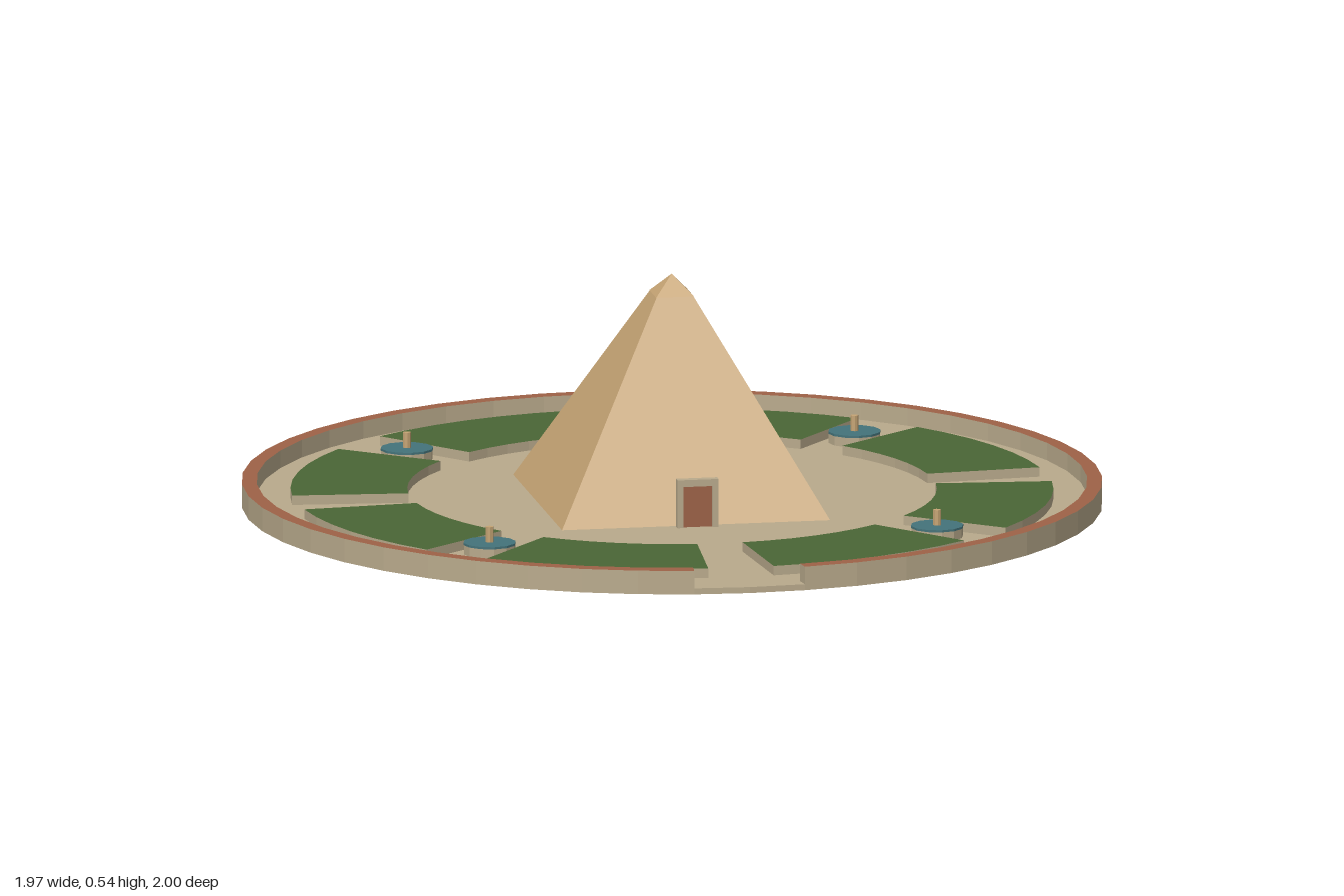
import * as THREE from 'three';

export function createModel() {
  const model = new THREE.Group();
  model.name = 'pyramidGarden';
  const mat = (name, color) => {
    const m = new THREE.MeshStandardMaterial({ color, flatShading: true });
    m.name = name;
    return m;
  };
  const stone = mat('paleStone', 0xb9aa8c);
  const sand = mat('sandstone', 0xc6a474);
  const grass = mat('grass', 0x4a6636);
  const brick = mat('brick', 0x9e6247);
  const water = mat('water', 0x44737a);

  const add = (name, geometry, material, x = 0, y = 0, z = 0, parent = model) => {
    const mesh = new THREE.Mesh(geometry, material);
    mesh.name = name;
    mesh.position.set(x, y, z);
    parent.add(mesh);
    return mesh;
  };

  // Curved slab between two radii; angles in degrees, measured from the front (+z)
  const ringSlab = (r0, r1, from, to, steps, height) => {
    const points = [];
    const arc = (r, a, b) => {
      for (let i = 0; i <= steps; i++) {
        const t = THREE.MathUtils.degToRad(a + ((b - a) * i) / steps);
        points.push(new THREE.Vector2(r * Math.sin(t), -r * Math.cos(t)));
      }
    };
    arc(r1, from, to);
    arc(r0, to, from);
    return new THREE.ExtrudeGeometry(new THREE.Shape(points), { depth: height, bevelEnabled: false })
      .rotateX(-Math.PI / 2);
  };

  // Square frustum given half widths
  const frustum = (top, bottom, height) =>
    new THREE.CylinderGeometry(top * Math.SQRT2, bottom * Math.SQRT2, height, 4).rotateY(Math.PI / 4);

  const floorY = 0.014;

  // Slightly oval grounds: floor, ring wall with a front gap, planting beds
  const grounds = new THREE.Group();
  grounds.name = 'grounds';
  grounds.scale.x = 0.986;
  model.add(grounds);
  add('floor', new THREE.CylinderGeometry(1, 1, floorY, 48), stone, 0, floorY / 2, 0, grounds);
  add('ringWall', ringSlab(0.965, 1, 7.5, 352.5, 46, 0.041), [brick, stone], 0, floorY, 0, grounds);
  for (let q = 0; q < 4; q++) {
    for (const start of [5, 50.5]) {
      const a = q * 90 + start;
      add('gardenBed', ringSlab(0.615, 0.886, a, a + 34.5, 6, 0.022), [grass, stone], 0, floorY, 0, grounds);
    }
  }

  // Fountains on the diagonals
  for (const sx of [-1, 1]) {
    for (const sz of [-1, 1]) {
      const fountain = new THREE.Group();
      fountain.name = 'fountain';
      fountain.position.set(sx * 0.521, floorY, sz * 0.528);
      model.add(fountain);
      add('basin', new THREE.CylinderGeometry(0.06, 0.06, 0.022, 12), stone, 0, 0.011, 0, fountain);
      add('waterSurface', new THREE.CylinderGeometry(0.061, 0.061, 0.005, 12), water, 0, 0.0245, 0, fountain);
      add('spout', new THREE.CylinderGeometry(0.009, 0.009, 0.036, 8), sand, 0, 0.045, 0, fountain);
    }
  }

  // Pyramid with capstone
  add('pyramid', frustum(0.043, 0.312, 0.478), sand, 0, floorY + 0.239, -0.004);
  add('capstone', frustum(0, 0.044, 0.046), sand, 0, 0.515, -0.004);

  // Freestanding doorway at the pyramid's front
  const doorway = new THREE.Group();
  doorway.name = 'doorway';
  doorway.position.set(0, floorY, 0.324);
  model.add(doorway);
  for (const s of [-1, 1]) {
    add('doorPost', new THREE.BoxGeometry(0.014, 0.096, 0.02), stone, s * 0.041, 0.048, 0, doorway);
  }
  add('lintel', new THREE.BoxGeometry(0.096, 0.016, 0.02), stone, 0, 0.104, 0, doorway);
  add('door', new THREE.BoxGeometry(0.068, 0.096, 0.016), brick, 0, 0.048, -0.006, doorway);

  return model;
}
